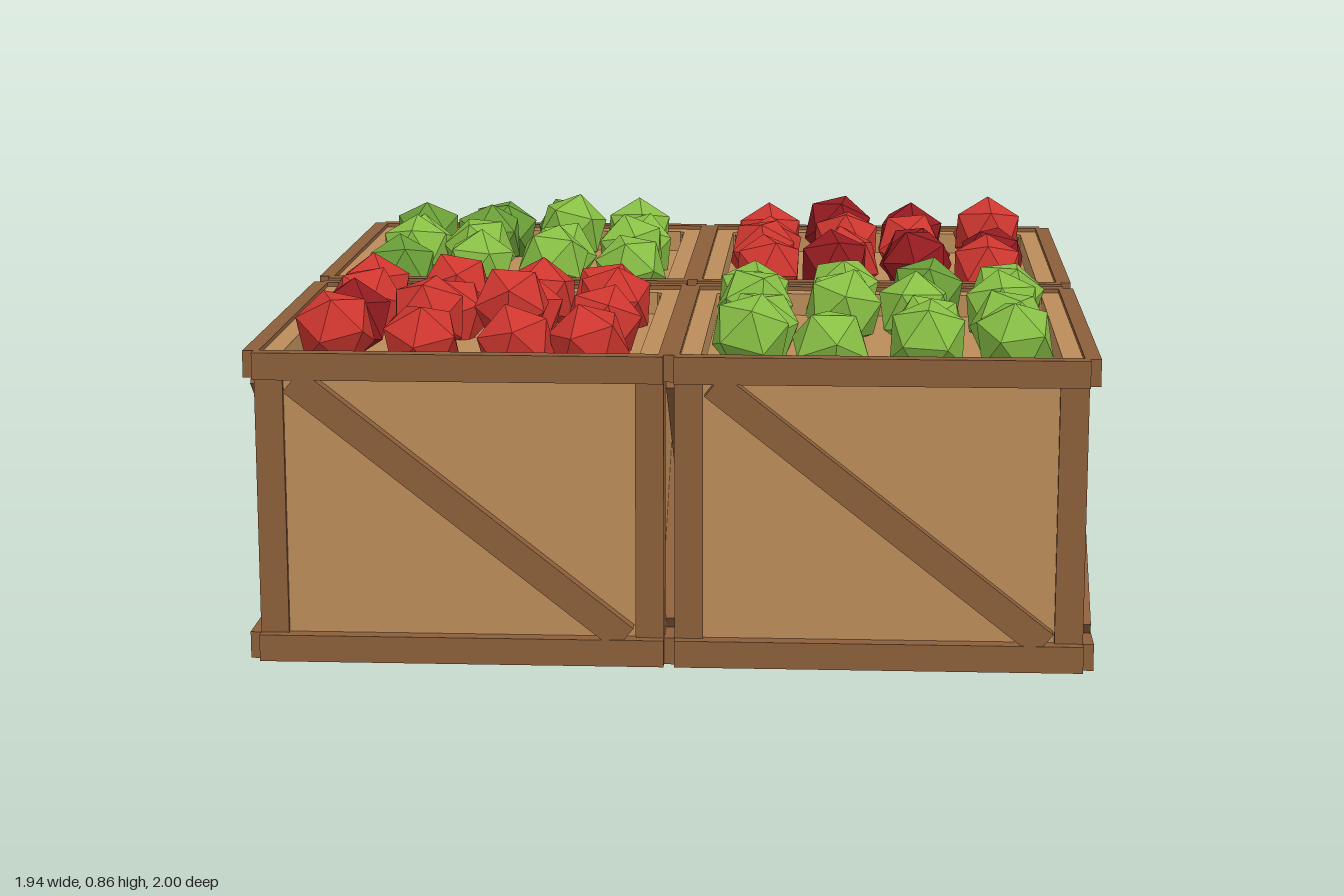
import * as THREE from 'three';

const mat = (name, color) => Object.assign(new THREE.MeshStandardMaterial({ color, flatShading: true }), { name });

export function createModel() {
  const model = new THREE.Group();
  model.name = 'fruitCrates';
  const panel = mat('light wood', 0xbc8c5a);
  const frame = mat('dark wood', 0x8b5e3a);
  const red = mat('red fruit', 0xcf362f);
  const darkRed = mat('dark red fruit', 0x921b20);
  const green = mat('green fruit', 0x88bf45);
  const darkGreen = mat('dark green fruit', 0x6a9e38);

  let seed = 11;
  const rand = () => (seed = (seed * 16807) % 2147483647) / 2147483647;
  const jitter = (amount) => (rand() * 2 - 1) * amount;

  const add = (parent, name, geometry, material, x = 0, y = 0, z = 0) => {
    const mesh = new THREE.Mesh(geometry, material);
    mesh.name = name;
    mesh.position.set(x, y, z);
    parent.add(mesh);
    return mesh;
  };

  // Square outline with slightly cut corners, for the rim and its opening
  const square = (Type, h, c) => {
    const points = [];
    for (const [sx, sy] of [[1, 1], [-1, 1], [-1, -1], [1, -1]]) {
      const a = new THREE.Vector2(sx * h, sy * (h - c));
      const b = new THREE.Vector2(sx * (h - c), sy * h);
      points.push(...(sx * sy > 0 ? [a, b] : [b, a]));
    }
    return new Type(points);
  };
  const rimShape = square(THREE.Shape, 0.455, 0.002);
  rimShape.holes.push(square(THREE.Path, 0.408, 0.012));
  const rimGeo = new THREE.ExtrudeGeometry(rimShape, { depth: 0.055, bevelEnabled: false }).rotateX(-Math.PI / 2);

  const bodyGeo = new THREE.BoxGeometry(0.91, 0.66, 0.91);
  const postGeo = new THREE.BoxGeometry(0.065, 0.705, 0.065);
  const railGeo = new THREE.BoxGeometry(0.932, 0.0625, 0.037);
  const braceGeo = new THREE.BoxGeometry(0.96, 0.067, 0.039);
  const fruitGeo = new THREE.IcosahedronGeometry(0.098, 0);

  function buildCrate(x, z) {
    const crate = new THREE.Group();
    crate.name = 'crate';
    crate.position.set(x, 0, z);
    add(crate, 'panelBox', bodyGeo, panel, 0, 0.33, 0);
    add(crate, 'innerRim', rimGeo, panel, 0, 0.66, 0);
    for (const sx of [-1, 1]) for (const sz of [-1, 1]) {
      add(crate, 'cornerPost', postGeo, frame, sx * 0.4335, 0.356, sz * 0.4335);
    }
    // Each side: two rails and one diagonal, leaning the other way on alternate sides
    for (let i = 0; i < 4; i++) {
      const side = new THREE.Group();
      side.name = 'sideFrame';
      side.rotation.y = i * Math.PI / 2;
      add(side, 'bottomRail', railGeo, frame, 0, 0.0325, 0.4725);
      add(side, 'topRail', railGeo, frame, 0, 0.694, 0.4725);
      const brace = add(side, 'diagonalBrace', braceGeo, frame, 0, 0.363, 0.469);
      brace.rotation.z = (i % 2 ? 1 : -1) * 0.67;
      crate.add(side);
    }
    model.add(crate);
    return crate;
  }

  // Four by four fruits, counted row by row from the back, slightly scattered
  function fillCrate(crate, main, dark, darkOnes, tallOne) {
    const pile = new THREE.Group();
    pile.name = 'fruitPile';
    for (let i = 0; i < 16; i++) {
      const x = (i % 4 - 1.5) * 0.197 + jitter(0.018);
      const z = (Math.floor(i / 4) - 1.5) * 0.197 + jitter(0.018);
      const y = i === tallOne ? 0.768 : 0.728 + jitter(0.018);
      const fruit = add(pile, 'fruit', fruitGeo, darkOnes.includes(i) ? dark : main, x, y, z);
      fruit.rotation.set(rand() * 6.28, rand() * 6.28, rand() * 6.28);
    }
    crate.add(pile);
  }

  const cx = 0.478, cz = 0.508;
  fillCrate(buildCrate(-cx, -cz), green, darkGreen, [0, 1, 2, 5, 12], 6);
  fillCrate(buildCrate(cx, -cz), red, darkRed, [1, 2, 10, 11, 13, 14], 7);
  fillCrate(buildCrate(-cx, cz), red, darkRed, [8], 10);
  fillCrate(buildCrate(cx, cz), green, darkGreen, [2], 9);
  return model;
}
